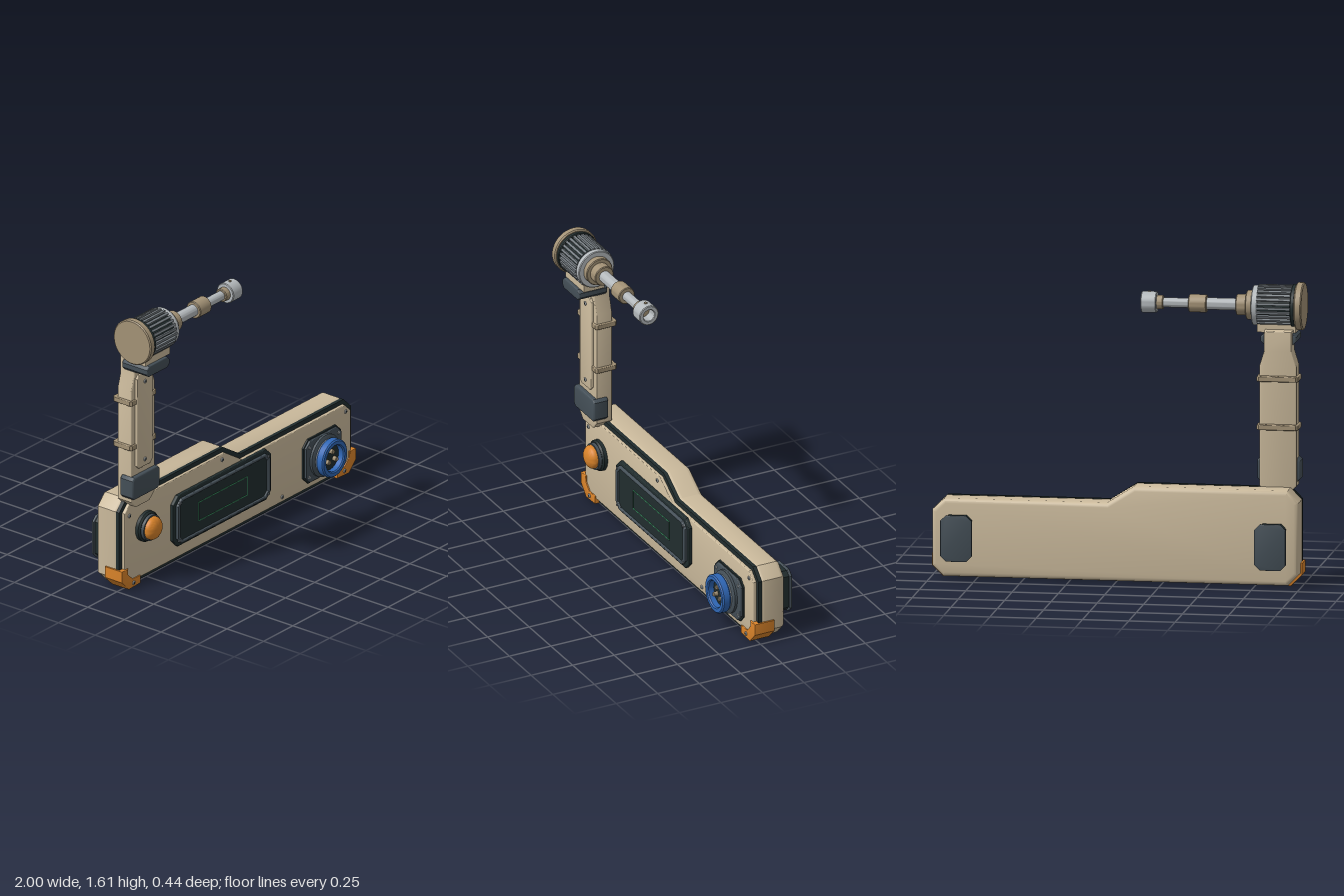
import * as THREE from 'three';
import { toCreasedNormals } from 'three/addons/utils/BufferGeometryUtils.js';

const mat = (name, color) => {
  const m = new THREE.MeshStandardMaterial({ color });
  m.name = name;
  return m;
};

export function createModel() {
  const model = new THREE.Group();
  model.name = 'controlUnit';
  const beige = mat('beige', 0xcbba9c), tan = mat('tan', 0xa39276), dark = mat('darkRubber', 0x212d2e);
  const slate = mat('slate', 0x444f57), orange = mat('orange', 0xd9832a), steel = mat('steel', 0xb4b9bc);
  const grey = mat('finGrey', 0x777e83), blue = mat('blue', 0x2f66b4), green = mat('green', 0x3fa56c);

  const add = (name, geo, material, parent = model) => {
    const m = new THREE.Mesh(geo, material);
    m.name = name;
    parent.add(m);
    return m;
  };
  const group = (name) => {
    const g = new THREE.Group();
    g.name = name;
    model.add(g);
    return g;
  };
  const shapeOf = (pts) => new THREE.Shape(pts.map(([x, y]) => new THREE.Vector2(x, y)));
  // Outline extruded from z0 to z1, with optional bevel and inset
  const slab = (pts, z0, z1, b = 0, inset = 0, holes = []) => {
    const s = shapeOf(pts);
    holes.forEach((h) => s.holes.push(shapeOf(h)));
    const g = new THREE.ExtrudeGeometry(s, {
      depth: z1 - z0 - 2 * b, bevelEnabled: b > 0, bevelThickness: b, bevelSize: b,
      bevelOffset: -b - inset, bevelSegments: 3, curveSegments: 8,
    });
    g.translate(0, 0, z0 + b);
    return toCreasedNormals(g, 0.6);
  };
  // Rectangle with cut corners
  const rect = (x0, x1, y0, y1, c = 0) => (c === 0
    ? [[x0, y0], [x1, y0], [x1, y1], [x0, y1]]
    : [[x0 + c, y0], [x1 - c, y0], [x1, y0 + c], [x1, y1 - c], [x1 - c, y1], [x0 + c, y1], [x0, y1 - c], [x0, y0 + c]]);
  // Turned profile of [radius, height], about the z axis or the x axis
  const turned = (profile) => toCreasedNormals(
    new THREE.LatheGeometry(profile.map(([r, h]) => new THREE.Vector2(r, h)), 40), 0.6);
  const turnZ = (profile, x, y) => turned(profile).rotateX(Math.PI / 2).translate(x, y, 0);
  const discZ = (r, z0, z1, x, y, b = 0.003) =>
    turnZ([[0, z0], [r, z0], [r, z1 - b], [r - b, z1], [0, z1]], x, y);

  // Main housing: shell, seal and front plate share one outline
  const outline = [[-0.93, 0.01], [0.93, 0.01], [0.99, 0.07], [0.99, 0.37], [0.925, 0.433],
    [0.045, 0.433], [-0.10, 0.525], [-0.93, 0.525], [-0.99, 0.462], [-0.99, 0.07]];
  const housing = group('housing');
  add('rearShell', slab(outline, -0.152, -0.005, 0.025), beige, housing);
  add('seal', slab(outline, -0.014, 0.007), dark, housing);
  add('frontPlate', slab(outline, 0.0, 0.026, 0.004, 0.025), beige, housing);

  // Screws
  const screw = (x, y, z, parent = housing) => {
    add('screw', discZ(0.011, z - 0.01, z + 0.006, x, y), steel, parent);
    add('screwSocket', discZ(0.005, z, z + 0.007, x, y, 0.001), dark, parent);
  };
  [[-0.927, 0.428], [-0.135, 0.47], [0.92, 0.368], [0.377, 0.064]].forEach(([x, y]) => screw(x, y, 0.026));

  for (const s of [-1, 1]) {
    // Corner guards
    const guard = [[1, 0.125], [0.945, 0.125], [0.945, 0.09], [0.905, 0.05], [0.84, 0.05],
      [0.84, 0.005], [0.94, 0.001], [1, 0.062]].map(([x, y]) => [s * x, y]);
    add('cornerGuard', slab(guard, -0.085, 0.034, 0.003), orange, housing);
    screw(s * 0.9, 0.028, 0.034);
    // Rear feet
    const foot = group('rearFoot');
    const cx = s * 0.848;
    add('footBlock', slab(rect(cx - 0.075, cx + 0.075, 0.113, 0.347, 0.025), -0.215, -0.14), dark, foot);
    add('footPad', slab(rect(cx - 0.085, cx + 0.085, 0.105, 0.355, 0.03), -0.226, -0.211, 0.004), slate, foot);
  }

  // Push button
  const button = group('button');
  add('buttonBase', turnZ([[0, 0.02], [0.086, 0.02], [0.086, 0.045], [0.078, 0.055], [0, 0.055]], -0.79, 0.322), dark, button);
  add('buttonCollar', turnZ([[0, 0.05], [0.075, 0.05], [0.073, 0.072], [0, 0.072]], -0.79, 0.322), slate, button);
  const dome = [[0, 0.06], [0.065, 0.06]];
  for (let i = 0; i <= 8; i++) {
    const a = (i / 8) * Math.PI / 2;
    dome.push([0.065 * Math.cos(a), 0.078 + 0.04 * Math.sin(a)]);
  }
  add('buttonDome', turnZ(dome, -0.79, 0.322), orange, button);

  // Display
  const display = group('display');
  add('displayGasket', slab(rect(-0.575, 0.262, 0.11, 0.407, 0.042), 0.02, 0.045, 0.004), dark, display);
  add('displayFrame', slab(rect(-0.553, 0.24, 0.127, 0.388, 0.035), 0.03, 0.06, 0.005, 0,
    [rect(-0.53, 0.217, 0.143, 0.372, 0.025)]), slate, display);
  add('screen', slab(rect(-0.53, 0.217, 0.14, 0.375, 0.02), 0.03, 0.05), dark, display);
  add('screenBorder', slab(rect(-0.367, 0.05, 0.2, 0.312), 0.048, 0.052, 0, 0,
    [rect(-0.363, 0.046, 0.204, 0.308)]), green, display);
  for (const x of [-0.535, 0.222]) for (const y of [0.148, 0.367]) {
    add('displayScrew', discZ(0.008, 0.05, 0.063, x, y), grey, display);
  }

  // Power socket
  const socket = group('socket');
  const sx = 0.707, sy = 0.197;
  add('socketGasket', slab(rect(0.548, 0.867, 0.068, 0.326, 0.04), 0.02, 0.036), dark, socket);
  add('socketPlate', slab(rect(0.556, 0.859, 0.076, 0.318, 0.036), 0.03, 0.048, 0.004), slate, socket);
  add('socketCollar', turnZ([[0, 0.04], [0.12, 0.04], [0.12, 0.062], [0.107, 0.07], [0, 0.07]], sx, sy), slate, socket);
  add('socketSleeve', turnZ([[0, 0.06], [0.098, 0.06], [0.098, 0.085], [0, 0.085]], sx, sy), steel, socket);
  add('socketRing', turnZ([[0.074, 0.078], [0.102, 0.078], [0.107, 0.085], [0.107, 0.12], [0.1, 0.127],
    [0.08, 0.127], [0.074, 0.12], [0.074, 0.078]], sx, sy), blue, socket);
  add('socketFloor', discZ(0.076, 0.07, 0.09, sx, sy), dark, socket);
  for (let i = 0; i < 3; i++) {
    const a = Math.PI / 2 + (i * Math.PI * 2) / 3;
    add('pin', discZ(0.013, 0.085, 0.115, sx + 0.036 * Math.cos(a), sy + 0.036 * Math.sin(a)), tan, socket);
  }
  for (const x of [0.583, 0.832]) for (const y of [0.11, 0.284]) {
    add('socketScrew', discZ(0.009, 0.04, 0.052, x, y), steel, socket);
  }

  // Upright arm
  const arm = group('arm');
  add('armPost', slab([[-0.917, 0.487], [-0.803, 0.487], [-0.76, 0.53], [-0.76, 1.18], [-0.785, 1.26],
    [-0.785, 1.368], [-0.935, 1.368], [-0.935, 1.26], [-0.96, 1.18], [-0.96, 0.53]], -0.03, 0.066, 0.006), beige, arm);
  add('armPanel', slab(rect(-0.927, -0.795, 0.715, 1.262, 0.018), 0.05, 0.079, 0.004), beige, arm);
  for (const y of [0.755, 1.213]) screw(-0.86, y, 0.079, arm);
  for (const y of [0.85, 1.112]) {
    const band = slab(rect(-0.972, -0.748, -0.074, 0.056, 0.012), -0.015, 0.015, 0.005);
    add('armBand', band.rotateX(-Math.PI / 2).translate(0, y, 0), tan, arm);
  }
  add('lowerCuff', slab(rect(-0.977, -0.743, 0.55, 0.68, 0.016), 0.0, 0.09, 0.01), slate, arm);
  add('upperCuff', slab(rect(-0.955, -0.762, 1.29, 1.352, 0.018), -0.003, 0.17, 0.006), slate, arm);

  // Motor head, turned about the x axis
  const head = group('motorHead');
  const turnX = (name, profile, material) =>
    add(name, turned(profile).rotateZ(-Math.PI / 2).translate(0, 1.487, 0.09), material, head);
  const rod = (name, x0, x1, r, material, b = 0.004) =>
    turnX(name, [[0, x0], [r - b, x0], [r, x0 + b], [r, x1 - b], [r - b, x1], [0, x1]], material);
  add('saddle', new THREE.BoxGeometry(0.21, 0.06, 0.125).translate(-0.842, 1.381, 0.09), beige, head);
  rod('endCap', -0.985, -0.944, 0.128, tan, 0.006);
  rod('motorSeal', -0.946, -0.922, 0.118, dark);
  rod('motorCore', -0.93, -0.735, 0.1, dark);
  for (let i = 0; i < 28; i++) {
    const fin = new THREE.BoxGeometry(0.186, 0.026, 0.013).translate(-0.832, 0.1, 0);
    fin.rotateX((i / 28) * Math.PI * 2).translate(0, 1.487, 0.09);
    add('coolingFin', fin, grey, head);
  }
  rod('frontFlange', -0.745, -0.71, 0.107, steel);
  rod('bearingHousing', -0.715, -0.675, 0.078, tan);
  rod('bearingNose', -0.68, -0.62, 0.056, tan);
  rod('innerShaft', -0.63, -0.45, 0.032, steel);
  rod('coupling', -0.46, -0.363, 0.048, tan);
  rod('outerShaft', -0.37, -0.2, 0.026, steel);
  rod('tipCollar', -0.225, -0.165, 0.037, tan);
  turnX('tipSleeve', [[0.03, -0.19], [0.053, -0.19], [0.057, -0.186], [0.057, -0.111], [0.053, -0.107],
    [0.036, -0.107], [0.033, -0.111], [0.03, -0.19]], steel);
  add('tipSetScrew', new THREE.CylinderGeometry(0.009, 0.009, 0.012, 12).translate(-0.148, 1.542, 0.09), tan, head);

  return model;
}
